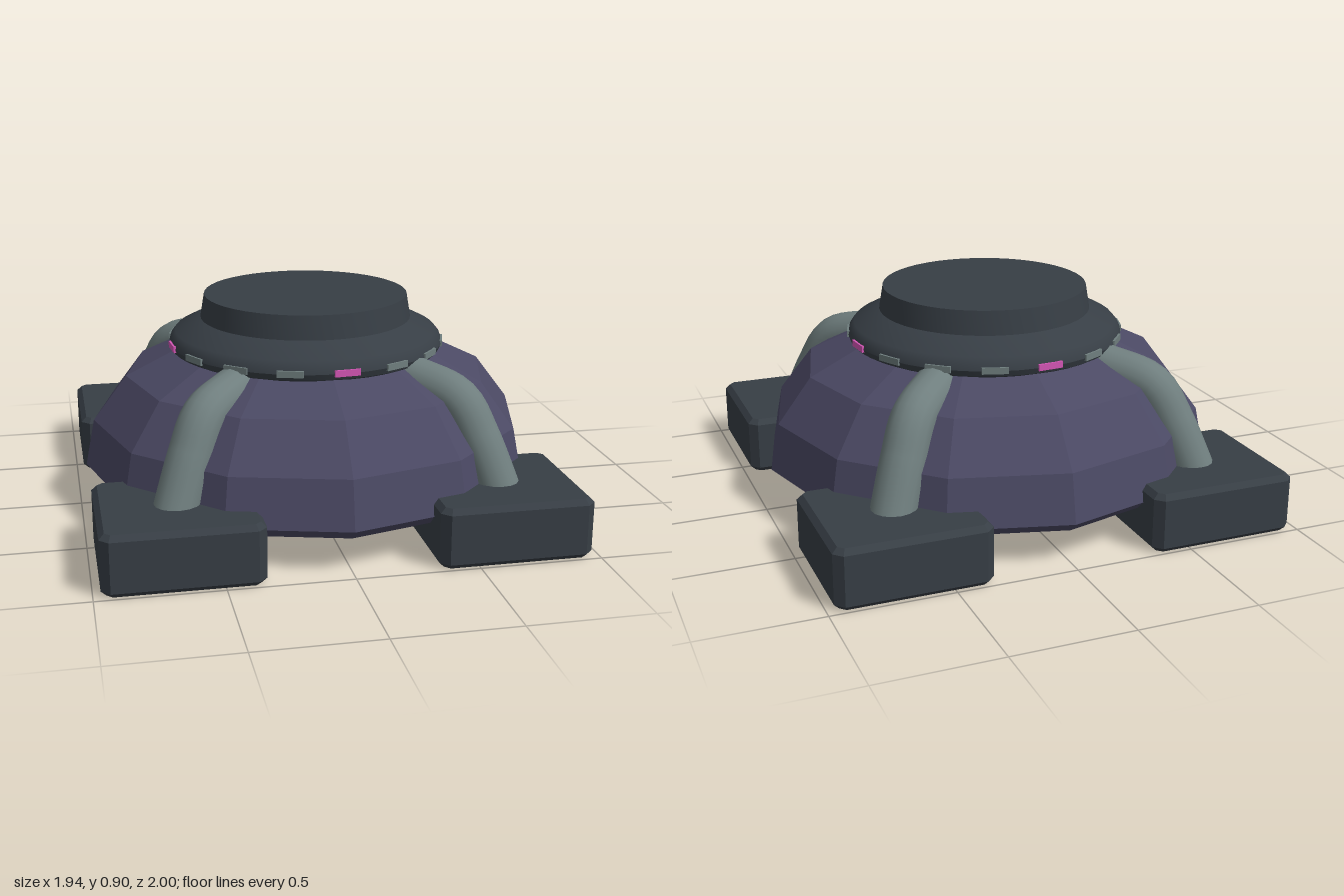
import * as THREE from 'three';
import { toCreasedNormals } from 'three/addons/utils/BufferGeometryUtils.js';

const mat = (name, color, extra = {}) => {
  const m = new THREE.MeshStandardMaterial({ color, ...extra });
  m.name = name;
  return m;
};

const lathe = (profile, sides) =>
  new THREE.LatheGeometry(profile.map(([r, y]) => new THREE.Vector2(r, y)), sides);

// Block with cut vertical corners and chamfered top and bottom edges
function chamferedBlock(w, h, d, cut, bevel) {
  const x = w / 2 - bevel, z = d / 2 - bevel;
  const shape = new THREE.Shape([
    [x - cut, -z], [x, -z + cut], [x, z - cut], [x - cut, z],
    [-x + cut, z], [-x, z - cut], [-x, -z + cut], [-x + cut, -z],
  ].map(([a, b]) => new THREE.Vector2(a, b)));
  const geo = new THREE.ExtrudeGeometry(shape, {
    depth: h - 2 * bevel, bevelEnabled: true, bevelSegments: 1,
    bevelSize: bevel, bevelThickness: bevel,
  });
  return geo.rotateX(-Math.PI / 2).translate(0, bevel, 0);
}

export function createModel() {
  const model = new THREE.Group();
  const violet = mat('violet shell', 0x4b4964, { flatShading: true });
  const slate = mat('dark slate', 0x373e45);
  const grey = mat('grey green', 0x6f7e7e);
  const pink = mat('pink light', 0xd455b5);

  const add = (name, geo, material, parent = model) => {
    const mesh = new THREE.Mesh(geo, material);
    mesh.name = name;
    parent.add(mesh);
    return mesh;
  };

  // Faceted dome with a shallow rounded underside
  add('dome', lathe([
    [0, 0.07], [0.3, 0.072], [0.57, 0.08], [0.8, 0.1], [0.92, 0.135], [0.97, 0.18],
    [0.93, 0.38], [0.785, 0.57], [0.57, 0.675], [0, 0.7],
  ], 12), violet);

  // Smooth collar and flat-topped turret
  add('turret', toCreasedNormals(lathe([
    [0, 0.66], [0.555, 0.66], [0.582, 0.675], [0.592, 0.7], [0.585, 0.725], [0.565, 0.75],
    [0.455, 0.805], [0.438, 0.905], [0, 0.905],
  ], 48), 0.6), slate);

  // Ring of small lights, every fourth one pink
  const lights = new THREE.Group();
  lights.name = 'collarLights';
  model.add(lights);
  const lightGeo = new THREE.BoxGeometry(0.108, 0.027, 0.024);
  for (let i = 0; i < 16; i++) {
    const a = 0.093 + (i * Math.PI) / 8;
    const light = add(i % 4 ? 'greyLight' : 'pinkLight', lightGeo, i % 4 ? grey : pink, lights);
    light.position.set(Math.sin(a) * 0.583, 0.702, Math.cos(a) * 0.583);
    light.rotation.y = a;
  }

  // Four bent legs standing on chamfered feet
  const footGeo = toCreasedNormals(chamferedBlock(0.63, 0.25, 0.59, 0.022, 0.022), 0.3);
  for (const sx of [-1, 1]) {
    for (const sz of [-1, 1]) {
      const path = new THREE.CatmullRomCurve3([
        [0.27, 0.64, 0.31], [0.39, 0.61, 0.44], [0.52, 0.555, 0.575],
        [0.585, 0.42, 0.64], [0.645, 0.25, 0.695], [0.67, 0.17, 0.72],
      ].map(([x, y, z]) => new THREE.Vector3(sx * x, y, sz * z)));
      add('leg', new THREE.TubeGeometry(path, 24, 0.093, 16), grey);
      add('foot', footGeo, slate).position.set(sx * 0.655, 0, sz * 0.705);
    }
  }
  return model;
}
